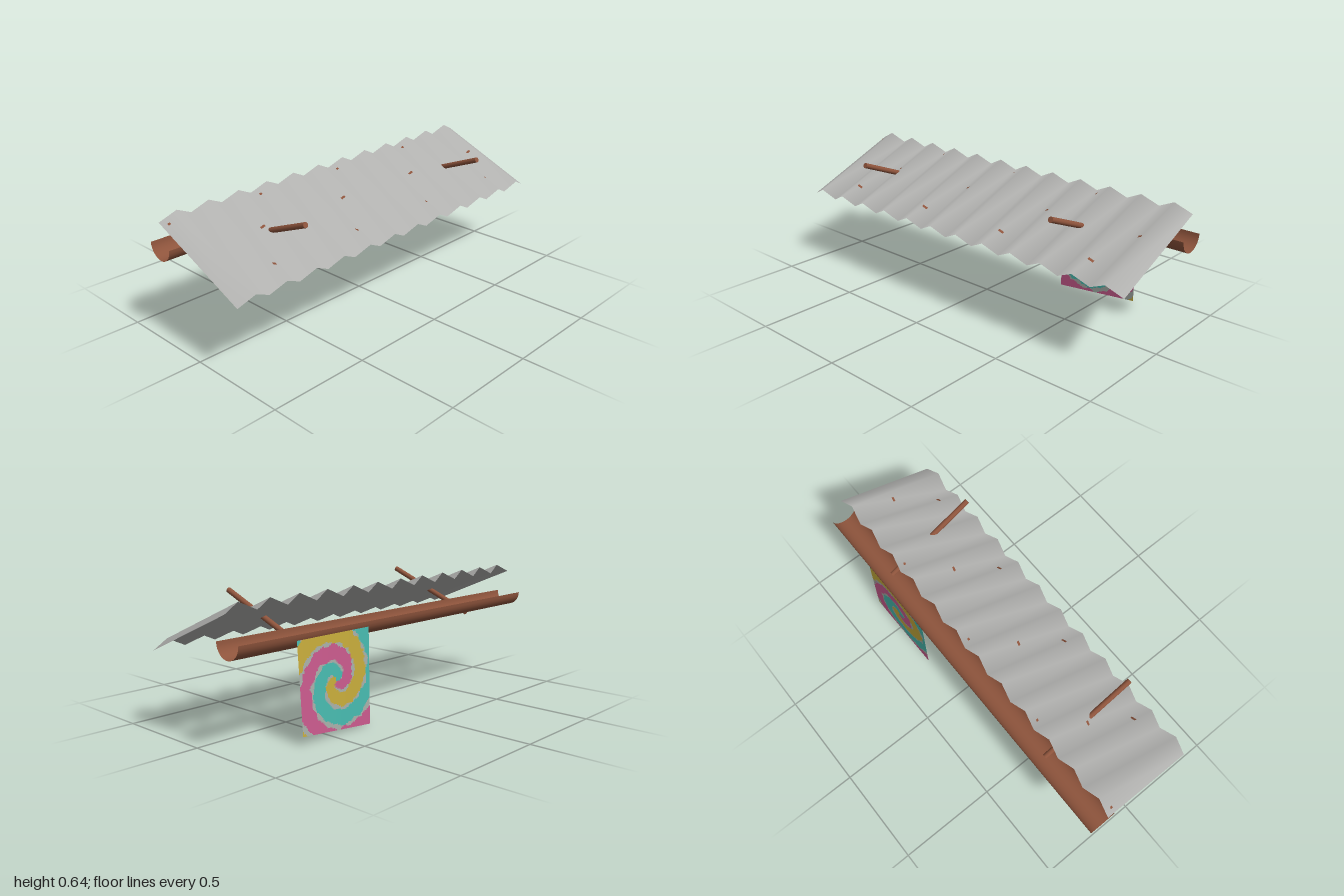
import * as THREE from 'three';

const paint = (name, color, side = THREE.DoubleSide) => {
  const m = new THREE.MeshStandardMaterial({ color, side });
  m.name = name;
  return m;
};

// Grid surface: point(u, v) with u, v in 0..1; optional pick(u, v) gives a material index per cell
function surface(nu, nv, point, pick) {
  const pos = [], buckets = [];
  for (let j = 0; j <= nv; j++)
    for (let i = 0; i <= nu; i++) pos.push(...point(i / nu, j / nv));
  for (let j = 0; j < nv; j++)
    for (let i = 0; i < nu; i++) {
      const a = j * (nu + 1) + i, b = a + nu + 1;
      const k = pick ? pick((i + 0.5) / nu, (j + 0.5) / nv) : 0;
      (buckets[k] ??= []).push(a, a + 1, b + 1, a, b + 1, b);
    }
  const geo = new THREE.BufferGeometry();
  geo.setAttribute('position', new THREE.Float32BufferAttribute(pos, 3));
  geo.setIndex(buckets.flat());
  if (pick) {
    let start = 0;
    buckets.forEach((list, k) => {
      geo.addGroup(start, list.length, k);
      start += list.length;
    });
  }
  geo.computeVertexNormals();
  return geo;
}

export function createModel() {
  const model = new THREE.Group();
  const metal = paint('grey metal', 0xb2b2b0);
  const rust = paint('rusty brown', 0x8e543c);
  const magenta = paint('magenta cloth', 0xcb5b8e);
  const yellow = paint('yellow cloth', 0xc8ad3c);
  const teal = paint('teal cloth', 0x48bbb0);
  const faded = paint('faded cloth', 0xa9b0aa);

  const add = (name, geo, mat) => {
    const mesh = new THREE.Mesh(geo, mat);
    mesh.name = name;
    model.add(mesh);
    return mesh;
  };

  // Corrugated sloping roof sheet: 12 ridges, t runs from front edge to back edge
  const sheetPoint = (x, t, lift = 0) => {
    const phase = (((x + 1) * 6) % 1 + 1) % 1;
    const h = 1 - Math.abs(phase * 2 - 1);
    const n = h * 0.0435 + lift;
    return [x, 0.38 + 0.22 * t + n * 0.92, 0.297 - 0.514 * t + n * 0.39];
  };
  add('roofSheet', surface(24, 1, (u, v) => sheetPoint(u * 2 - 1, v)), metal);

  // Small rust chips repeating along the sheet
  for (let i = 0; i < 4; i++) {
    [[-0.98, 0.92, 0.01], [-0.63, 0.57, 0.02], [-0.74, 0.19, 0.024]].forEach(([x0, t0, w]) => {
      add('rustChip', surface(2, 1, (u, v) =>
        sheetPoint(x0 + i * 0.5 + u * w, t0 + v * 0.022, 0.002)), rust);
    });
  }

  // Half-round gutter along the back, open at the top
  const r = 0.07;
  add('gutter', surface(1, 16, (u, v) => {
    const a = Math.PI * v;
    return [u * 2 - 1, 0.486 - r * Math.sin(a), -0.228 + r * Math.cos(a)];
  }), rust);

  // Rods poking through the sheet into the gutter
  for (const x of [-0.6, 0.6]) {
    const rod = add('supportRod', new THREE.CylinderGeometry(0.0133, 0.0133, 0.529, 16), rust);
    rod.position.set(x, 0.511, 0.0225);
    rod.rotation.x = 1.19;
  }

  // Hanging cloth with a three-armed spiral
  const corners = [
    [0.25, 0.004, -0.303], [0.68, 0.045, -0.312],
    [0.25, 0.46, -0.293], [0.69, 0.46, -0.293],
  ].map((c) => new THREE.Vector3(...c));
  const clothPoint = (u, v) => {
    const low = corners[0].clone().lerp(corners[1], u);
    return low.lerp(corners[2].clone().lerp(corners[3], u), v).toArray();
  };
  const spiral = (u, v) => {
    const [x, y] = clothPoint(u, v);
    const dx = x - 0.465, dy = y - 0.25, d = Math.hypot(dx, dy);
    const wobble = 0.02 * Math.sin(x * 90 + 2 * Math.sin(y * 70)) * Math.sin(y * 83);
    const p = d * 4.35 - d * d * 1.5 + Math.atan2(dy, dx) / (2 * Math.PI) + wobble - 0.593;
    const arm = (((p % 1) + 1) % 1) * 3;
    const edge = Math.abs(arm - Math.round(arm));
    const patch = Math.sin(x * 61 + 1) * Math.sin(y * 57 + x * 20);
    return edge < 0.08 + 0.08 * patch && d > 0.03 ? 3 : Math.floor(arm) % 3;
  };
  add('hangingCloth', surface(72, 72, clothPoint, spiral), [magenta, yellow, teal, faded]);

  return model;
}
